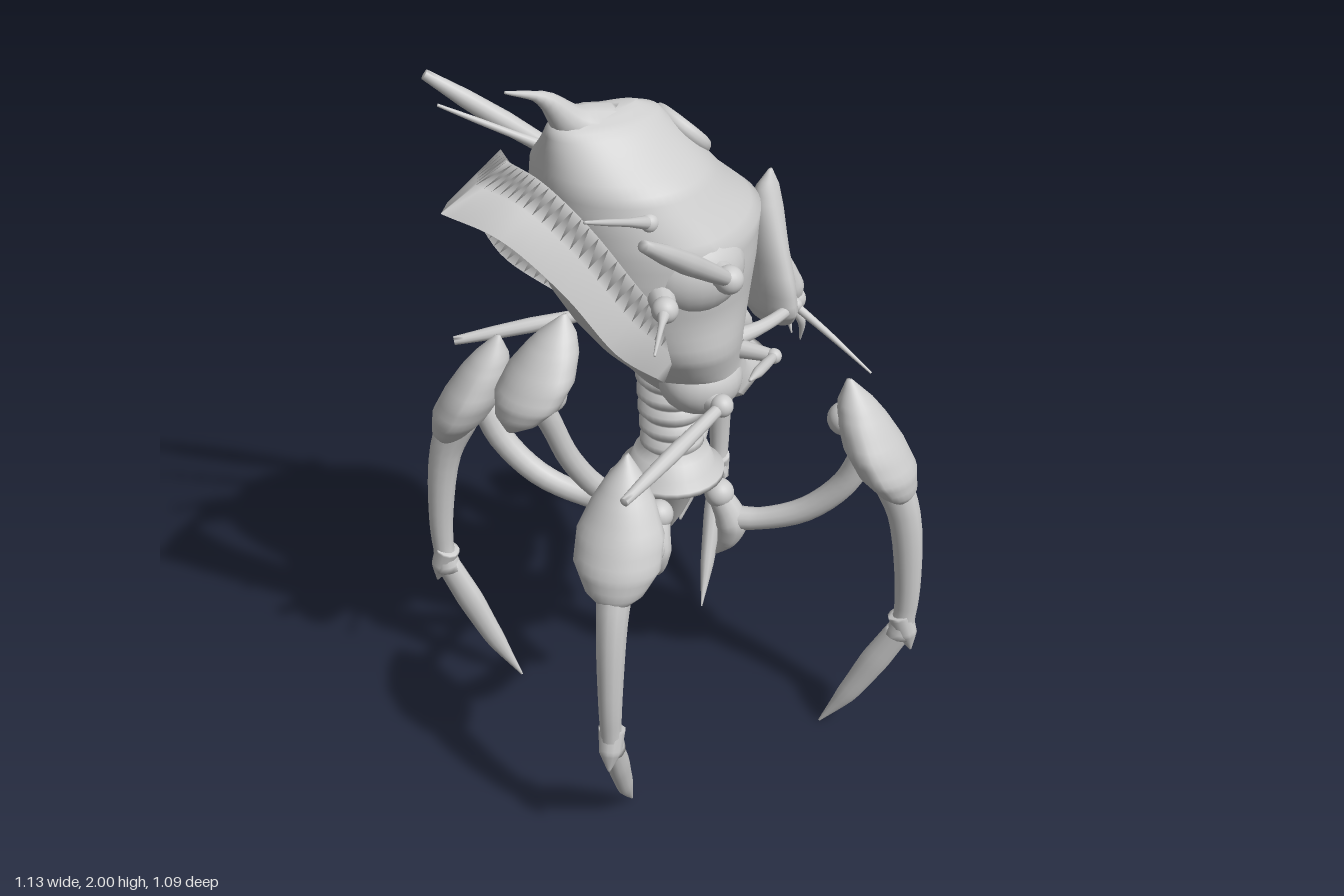
import * as THREE from 'three';

const V = (x, y, z = 0) => new THREE.Vector3(x, y, z);

// Skin a closed surface over rings of points, with fan caps
function skin(rings) {
  const n = rings[0].length, pos = [], idx = [];
  rings.forEach(r => r.forEach(p => pos.push(p.x, p.y, p.z)));
  for (let i = 0; i < rings.length - 1; i++) {
    for (let j = 0; j < n; j++) {
      const a = i * n + j, b = i * n + (j + 1) % n;
      idx.push(a, a + n, b, b, a + n, b + n);
    }
  }
  const last = (rings.length - 1) * n;
  for (let j = 1; j < n - 1; j++) idx.push(0, j, j + 1, last, last + j + 1, last + j);
  const g = new THREE.BufferGeometry();
  g.setAttribute('position', new THREE.Float32BufferAttribute(pos, 3));
  g.setIndex(idx);
  g.computeVertexNormals();
  return g;
}

// Horizontal sections [y, xMin, xMax, halfWidth, frontSharpness]
function loft(sections, steps = 3, n = 32) {
  const lerp = THREE.MathUtils.lerp, rings = [];
  for (let i = 0; i < sections.length - 1; i++) {
    for (let k = 0; k < steps || (k === steps && i === sections.length - 2); k++) {
      const s = sections[i].map((v, c) => lerp(v, sections[i + 1][c], k / steps));
      const [y, x0, x1, w, p] = s, c = (x0 + x1) / 2, ring = [];
      for (let j = 0; j < n; j++) {
        const a = j / n * Math.PI * 2, co = Math.cos(a);
        const x = co > 0 ? (x1 - c) * Math.pow(co, p) : (c - x0) * co;
        ring.push(V(c + x, y, w * Math.sin(a)));
      }
      rings.push(ring);
    }
  }
  return skin(rings);
}

// Tapering tube through points; flat squashes it sideways
function limb(points, radii, flat = 1, n = 12, steps = 16) {
  const curve = new THREE.CatmullRomCurve3(points), rings = [];
  for (let i = 0; i <= steps; i++) {
    const t = i / steps, f = t * (radii.length - 1), k = Math.min(Math.floor(f), radii.length - 2);
    const r = THREE.MathUtils.lerp(radii[k], radii[k + 1], f - k);
    const c = curve.getPoint(t), T = curve.getTangent(t);
    const ref = Math.abs(T.z) > 0.9 ? V(0, 1, 0) : V(0, 0, 1);
    const N = T.clone().cross(ref).normalize(), B = N.clone().cross(T);
    rings.push(Array.from({ length: n }, (_, j) => {
      const a = j / n * Math.PI * 2;
      return c.clone().addScaledVector(N, r * Math.cos(a)).addScaledVector(B, -r * flat * Math.sin(a));
    }).reverse());
  }
  return skin(rings);
}

export function createModel() {
  const root = new THREE.Group();
  const grey = new THREE.MeshStandardMaterial({ color: 0xcccccc, side: THREE.DoubleSide });
  grey.name = 'shell grey';
  const add = (name, geo, parent = root) => {
    const m = new THREE.Mesh(geo, grey);
    m.name = name;
    parent.add(m);
    return m;
  };
  const ball = (name, r, p, scale = V(1, 1, 1), parent = root) => {
    const m = add(name, new THREE.SphereGeometry(r, 24, 16), parent);
    m.position.copy(p);
    m.scale.copy(scale);
    return m;
  };

  // Main shell, with the front face hollowed below the brow
  const body = loft([
    [1.02, 0.08, 0.15, 0.03, 1], [1.05, 0.04, 0.23, 0.13, 1.5], [1.1, -0.01, 0.35, 0.2, 2.2],
    [1.16, -0.06, 0.26, 0.24, 1.4], [1.22, -0.12, 0.22, 0.26, 1], [1.3, -0.18, 0.22, 0.29, 1],
    [1.4, -0.24, 0.25, 0.285, 1], [1.5, -0.27, 0.27, 0.3, 1.1], [1.6, -0.28, 0.29, 0.3, 1.3],
    [1.68, -0.29, 0.2, 0.26, 1.1], [1.75, -0.29, 0.14, 0.225, 1], [1.82, -0.28, 0.075, 0.135, 1],
    [1.87, -0.27, 0.03, 0.08, 1], [1.895, -0.24, -0.03, 0.03, 1]], 3, 64);
  const bp = body.attributes.position;
  for (let i = 0; i < bp.count; i++) {
    const x = bp.getX(i), y = bp.getY(i), z = bp.getZ(i);
    const half = 0.16 * THREE.MathUtils.clamp((1.56 - y) / 0.22, 0, 1);
    const depth = 0.09 * THREE.MathUtils.smoothstep(y, 1.13, 1.22);
    if (x > 0.05 && Math.abs(z) < half) bp.setX(i, x - depth * (1 - (z / half) ** 2));
  }
  body.computeVertexNormals();
  add('body shell', body);
  ball('throat', 0.09, V(0.22, 1.33), V(0.5, 1, 0.75));

  // Crest horn
  add('crest horn', limb([V(-0.1, 1.83), V(-0.2, 1.87), V(-0.28, 1.955), V(-0.38, 1.995)],
    [0.07, 0.06, 0.035, 0.012, 0.004]));

  // Crater eye on the brow slope
  const eye = new THREE.Group();
  eye.name = 'brow eye';
  eye.position.set(0.1, 1.785, 0);
  eye.rotation.set(0, Math.PI / 2, 0.78, 'ZYX');
  root.add(eye);
  add('eye rim', new THREE.TorusGeometry(0.066, 0.022, 12, 32), eye);
  ball('eye ball', 0.05, V(0, 0, -0.005), V(1, 1, 0.6), eye);

  // Pointed hoop behind the body
  const edge = pts => new THREE.CatmullRomCurve3(pts.map(p => V(...p)));
  const outer = edge([[-0.56, 1.73, 0], [-0.47, 1.69, 0.12], [-0.36, 1.56, 0.22], [-0.25, 1.39, 0.275], [-0.1, 1.25, 0.25]]);
  const inner = edge([[-0.38, 1.82, 0], [-0.345, 1.8, 0.1], [-0.27, 1.7, 0.19], [-0.16, 1.52, 0.25], [-0.05, 1.37, 0.25]]);
  const hoopRings = [];
  for (let i = -24; i <= 24; i++) {
    const t = Math.abs(i) / 24, m = V(1, 1, i < 0 ? -1 : 1);
    const o = outer.getPoint(t).multiply(m), n = inner.getPoint(t).multiply(m);
    const mid = o.clone().lerp(n, 0.5);
    hoopRings.push([o, mid.clone().add(V(-0.015, -0.015, 0)), n, mid.clone().add(V(0.005, 0.005, 0))]);
  }
  add('rear hoop', skin(hoopRings));

  [1, -1].forEach(s => {
    // Shoulder and cheek swellings
    ball('shoulder swelling', 0.12, V(0, 1.53, 0.205 * s), V(1.15, 1, 1));
    ball('cheek swelling', 0.1, V(0.06, 1.17, 0.165 * s), V(1.1, 0.9, 1));

    // Spines with ball sockets: base, tip, ball radius, shaft radii
    [['upper blade', [0.02, 1.55, 0.345], [-0.33, 1.825, 0.53], 0.036, [0.018, 0.024, 0.028, 0.024, 0.014]],
      ['rear spine', [-0.14, 1.5, 0.315], [-0.27, 1.5, 0.48], 0.033, [0.02, 0.008, 0.006, 0.003]],
      ['crown spine', [-0.13, 1.69, 0.225], [-0.38, 1.82, 0.36], 0.025, [0.018, 0.01, 0.008, 0.004]],
      ['lower blade', [0.05, 1.15, 0.28], [-0.33, 1.09, 0.44], 0.03, [0.016, 0.018, 0.021, 0.018, 0.012]],
      ['front spine', [0.2, 1.25, 0.285], [0.03, 1.31, 0.43], 0.02, [0.012, 0.014, 0.014, 0.004]]
    ].forEach(([name, a, b, r, radii]) => {
      const p = V(a[0], a[1], a[2] * s), q = V(b[0], b[1], b[2] * s);
      ball(name + ' socket', r, p);
      add(name, limb([p, p.clone().lerp(q, 0.5), q], radii));
      const base = p.clone().lerp(V(0, a[1], 0), 0.25);
      add(name + ' root', limb([base, base.clone().lerp(p, 0.5), p], [r * 1.2, r * 0.8]));
    });

    // Head struts, feelers and mandibles
    add('head strut', limb([V(0.12, 1.24, 0.15 * s), V(0.25, 1.25, 0.15 * s), V(0.37, 1.24, 0.1 * s)], [0.03, 0.018, 0.015]));
    ball('small eye', 0.02, V(0.43, 1.21, 0.045 * s));
    add('feeler', limb([V(0.43, 1.21, 0.04 * s), V(0.48, 1.15, 0.13 * s), V(0.545, 1.065, 0.24 * s)], [0.012, 0.009, 0.003]));
    add('mandible', limb([V(0.43, 1.2, 0.02 * s), V(0.46, 1.15, 0.035 * s), V(0.47, 1.08, 0.02 * s)], [0.015, 0.012, 0.002]));
  });

  // Head: tall pointed mask with a nose ridge
  add('head mask', loft([
    [1.15, 0.38, 0.42, 0.02, 1], [1.18, 0.34, 0.44, 0.08, 1.1], [1.23, 0.315, 0.43, 0.125, 1.3],
    [1.31, 0.31, 0.42, 0.12, 1.3], [1.4, 0.31, 0.41, 0.09, 1.3], [1.5, 0.315, 0.405, 0.05, 1.2],
    [1.56, 0.33, 0.395, 0.025, 1.2], [1.605, 0.365, 0.375, 0.004, 1]]));
  add('nose ridge', limb([V(0.39, 1.41), V(0.42, 1.31), V(0.445, 1.24), V(0.455, 1.18)], [0.006, 0.03, 0.038, 0.02]));
  ball('snout', 0.035, V(0.455, 1.2, 0));

  // Ribbed neck, pelvis collar and keel as one turned profile
  const profile = [[0, 0.6], [0.03, 0.65], [0.065, 0.73], [0.09, 0.76], [0.14, 0.785], [0.14, 0.8], [0.115, 0.82], [0.1, 0.86]];
  for (let i = 0; i < 5; i++) {
    const y = 0.87 + i * 0.05, r = 0.085 + i * 0.003;
    profile.push([r - 0.015, y], [r, y + 0.015], [r, y + 0.032], [r - 0.012, y + 0.046]);
  }
  profile.push([0.09, 1.16]);
  add('neck and pelvis', new THREE.LatheGeometry(profile.map(p => new THREE.Vector2(...p)), 28)).position.x = 0.08;

  // Knee guard shared by the legs and tail
  const guard = loft([
    [0.78, 0.61, 0.64, 0.015, 1], [0.83, 0.555, 0.66, 0.075, 1.2], [0.89, 0.5, 0.655, 0.11, 1.3],
    [0.96, 0.46, 0.62, 0.11, 1.3], [1.03, 0.44, 0.575, 0.08, 1.2], [1.08, 0.44, 0.535, 0.05, 1],
    [1.14, 0.46, 0.475, 0.004, 1]], 3, 28);

  // Four legs on the diagonals, each drawn in its own radial plane
  for (let k = 0; k < 4; k++) {
    const leg = new THREE.Group();
    leg.name = 'leg';
    leg.position.x = 0.075;
    leg.rotation.y = Math.PI / 4 + k * Math.PI / 2;
    root.add(leg);
    ball('hip', 0.04, V(0.135, 0.735), V(1, 1, 1), leg);
    add('hip hook', limb([V(0.13, 0.74), V(0.17, 0.65), V(0.16, 0.59), V(0.13, 0.535)], [0.03, 0.045, 0.03, 0.003]), leg);
    add('upper leg', limb([V(0.15, 0.66), V(0.25, 0.67), V(0.37, 0.72), V(0.47, 0.82), V(0.52, 0.93)],
      [0.035, 0.03, 0.033, 0.035, 0.035]), leg);
    add('knee guard', guard, leg);
    ball('knee joint', 0.045, V(0.46, 1.02), V(1, 1, 1), leg);
    add('shin', limb([V(0.58, 0.88), V(0.63, 0.75), V(0.653, 0.55), V(0.652, 0.42), V(0.64, 0.35)],
      [0.055, 0.045, 0.036, 0.03, 0.038], 0.9), leg);
    add('ankle spur', limb([V(0.64, 0.42), V(0.66, 0.36), V(0.675, 0.305)], [0.035, 0.03, 0.003]), leg);
    add('claw', limb([V(0.645, 0.37), V(0.58, 0.25), V(0.51, 0.12), V(0.435, 0.005)], [0.036, 0.04, 0.03, 0.003], 0.7), leg);
  }

  // Short raised tail limb with its own squat guard
  const tail = new THREE.Group();
  tail.name = 'tail limb';
  tail.position.x = 0.075;
  tail.rotation.y = Math.PI;
  root.add(tail);
  add('tail arm', limb([V(0.08, 0.74), V(0.2, 0.79), V(0.3, 0.92), V(0.36, 1.06), V(0.4, 1.15)], [0.035, 0.03, 0.03, 0.035]), tail);
  const tailGuard = add('tail guard', guard, tail);
  tailGuard.position.set(-0.155, 0.45, 0);
  tailGuard.scale.y = 0.8;
  ball('tail joint', 0.045, V(0.36, 1.14), V(1, 1, 1), tail);

  return root;
}
